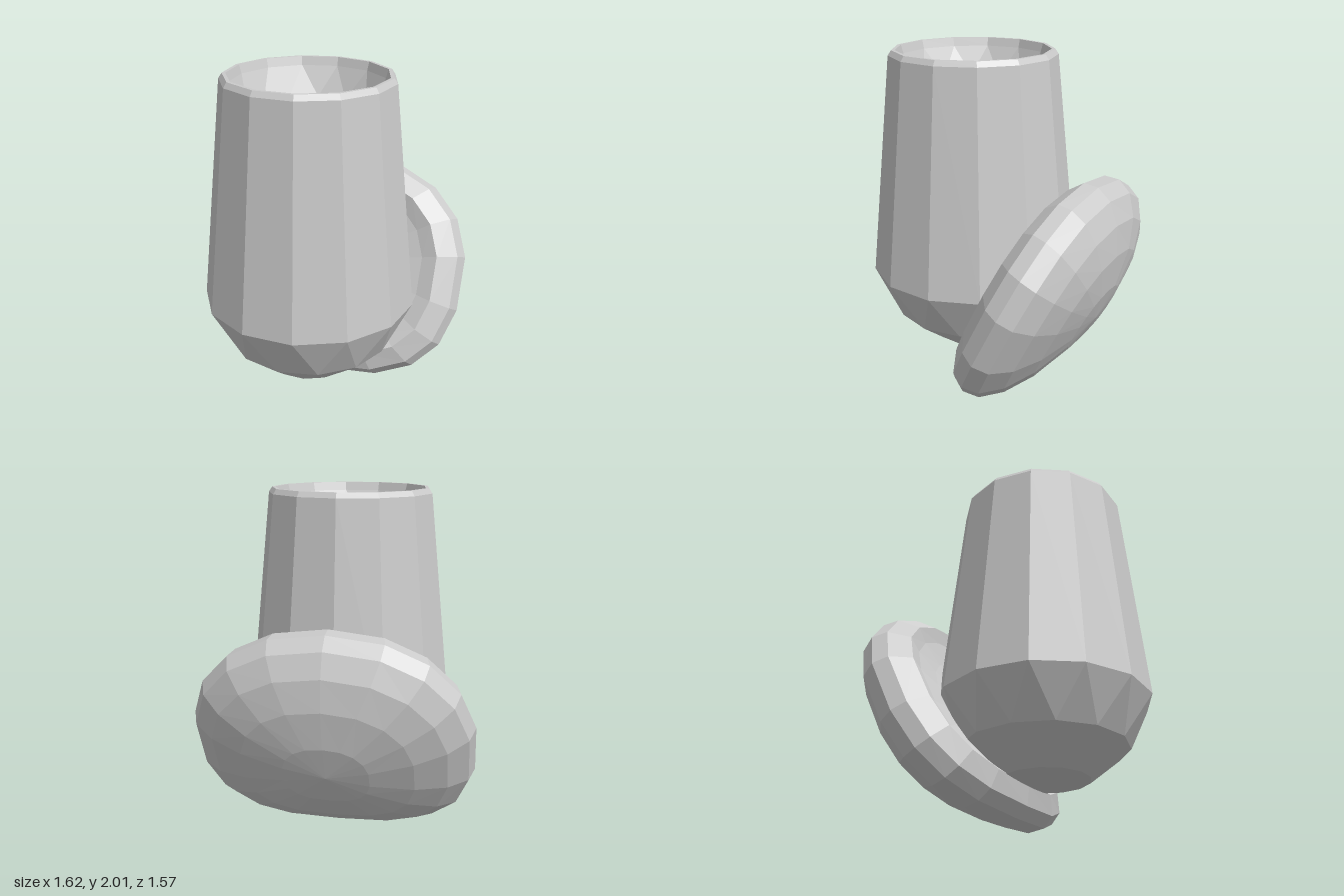
import * as THREE from 'three';

const material = new THREE.MeshStandardMaterial({ color: 0xcccccc, flatShading: true });

// Lathe from [radius, height] pairs
function lathe(profile, sides) {
  return new THREE.LatheGeometry(profile.map(([r, y]) => new THREE.Vector2(r, y)), sides);
}

// Apply a rule to every vertex
function warp(geometry, rule) {
  const pos = geometry.attributes.position;
  const v = new THREE.Vector3();
  for (let i = 0; i < pos.count; i++) {
    rule(v.fromBufferAttribute(pos, i), i);
    pos.setXYZ(i, v.x, v.y, v.z);
  }
  geometry.computeVertexNormals();
  return geometry;
}

// Hollow tapered leg: rounded base, straight wall, thin rim and bowl-shaped hollow
function makeLeg() {
  // radius, height, twist in half steps: staggered rings give triangular facets
  const profile = [
    [0, 0.17, 0], [0.26, 0.2, 1], [0.49, 0.38, 2], [0.63, 0.66, 3],
    [0.495, 1.97, 3], [0.475, 2, 3], [0.455, 2, 3], [0.44, 1.95, 3],
    [0.36, 1.78, 4], [0.2, 1.67, 5], [0, 1.63, 5],
  ];
  const sides = 13;
  const geometry = warp(lathe(profile, sides), (v, i) => {
    const twist = profile[i % profile.length][2];
    v.applyAxisAngle(THREE.Object3D.DEFAULT_UP, twist * Math.PI / sides);
  });
  const leg = new THREE.Mesh(geometry, material);
  leg.name = 'leg';
  leg.position.z = 0.165;
  return leg;
}

// Domed foot: bulging sole at the back, soft lip and shallow dish at the front
function makeFoot() {
  const profile = [
    [0, -0.41], [0.3, -0.39], [0.6, -0.325], [0.82, -0.235], [0.96, -0.13],
    [1, -0.03], [0.96, 0.055], [0.82, 0.12], [0.7, 0.08], [0.5, 0.05], [0, 0.03],
  ];
  const geometry = warp(lathe(profile, 18), (v) => {
    const r = Math.hypot(v.x, v.z);
    if (r < 1e-6) return;
    // Slightly squared oval, fuller at the bottom, with the sides bent back
    const power = v.z > 0 ? 0.76 : 0.88;
    const square = (c) => Math.sign(c) * Math.abs(c) ** power;
    v.x = 0.82 * r * square(v.x / r);
    v.z = 0.715 * r * square(v.z / r);
    v.y -= 0.11 * v.x * v.x;
  });
  const foot = new THREE.Mesh(geometry, material);
  foot.name = 'foot';
  foot.rotation.x = THREE.MathUtils.degToRad(63.4);
  foot.position.set(0, 0.66, -0.31);
  return foot;
}

export function createModel() {
  const model = new THREE.Group();
  model.name = 'legWithFoot';
  model.add(makeLeg(), makeFoot());
  return model;
}
